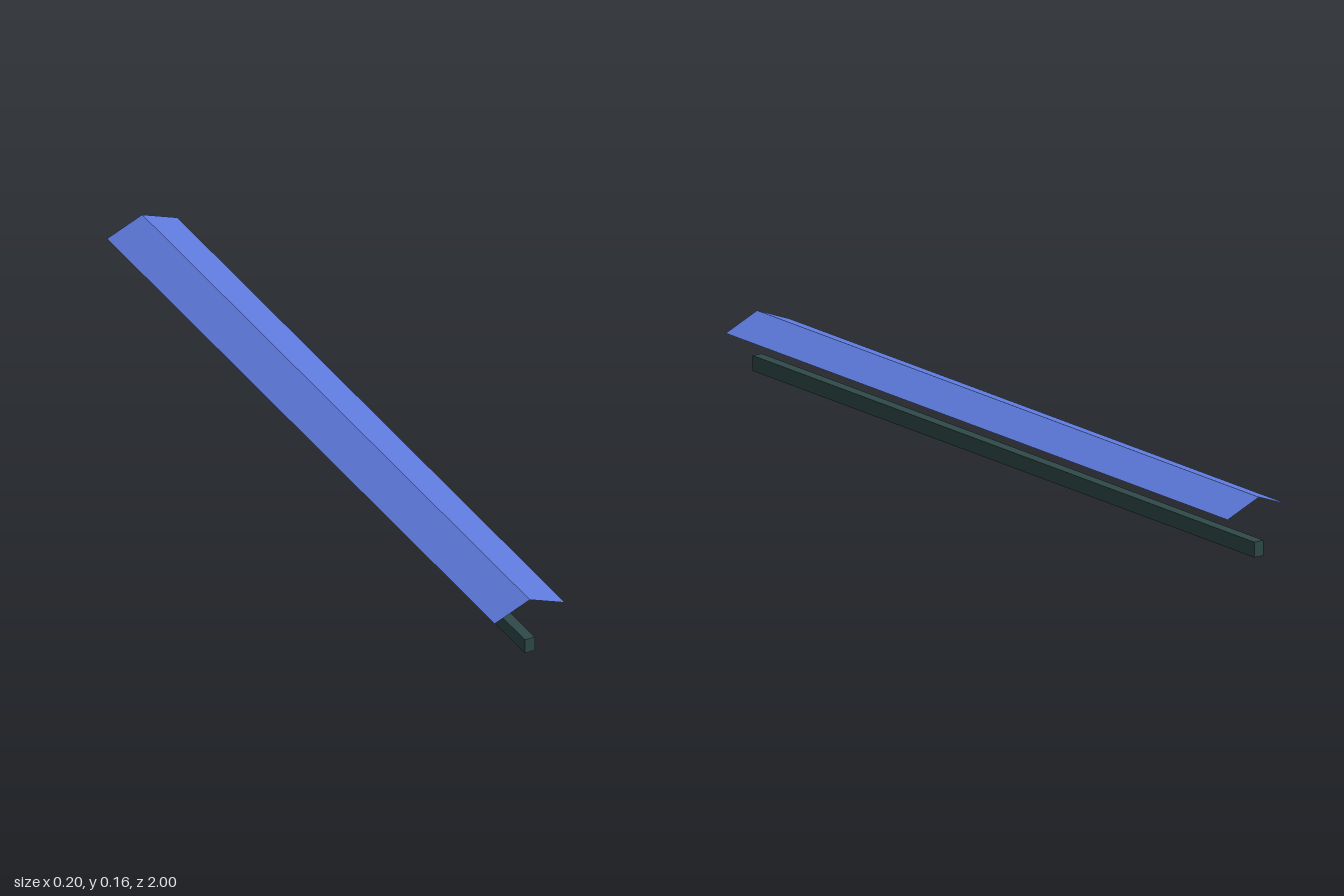
import * as THREE from 'three';

const LENGTH = 2;
const HALF_WIDTH = 0.1;
const EAVE_Y = 0.115;
const RIDGE_Y = 0.155;

export function createModel() {
  const model = new THREE.Group();
  model.name = 'canopyWithBeam';

  // Long straight beam on the ground
  const beam = new THREE.Mesh(
    new THREE.BoxGeometry(0.028, 0.04, LENGTH),
    new THREE.MeshStandardMaterial({ color: 0x2f4a48 })
  );
  beam.name = 'beam';
  beam.position.y = 0.02;
  model.add(beam);

  // Two thin sloping panels meeting at the ridge
  const roof = new THREE.Group();
  roof.name = 'roof';
  const roofMaterial = new THREE.MeshStandardMaterial({ color: 0x5f7ce0, side: THREE.DoubleSide });
  const rise = RIDGE_Y - EAVE_Y;
  const slopeWidth = Math.hypot(HALF_WIDTH, rise);
  const pitch = Math.atan2(rise, HALF_WIDTH);
  for (const side of [1, -1]) {
    const geometry = new THREE.PlaneGeometry(slopeWidth, LENGTH).rotateX(-Math.PI / 2);
    const panel = new THREE.Mesh(geometry, roofMaterial);
    panel.name = side > 0 ? 'leftRoofPanel' : 'rightRoofPanel';
    panel.rotation.z = -side * pitch;
    panel.position.set(side * HALF_WIDTH / 2, (EAVE_Y + RIDGE_Y) / 2, 0);
    roof.add(panel);
  }
  model.add(roof);

  return model;
}
